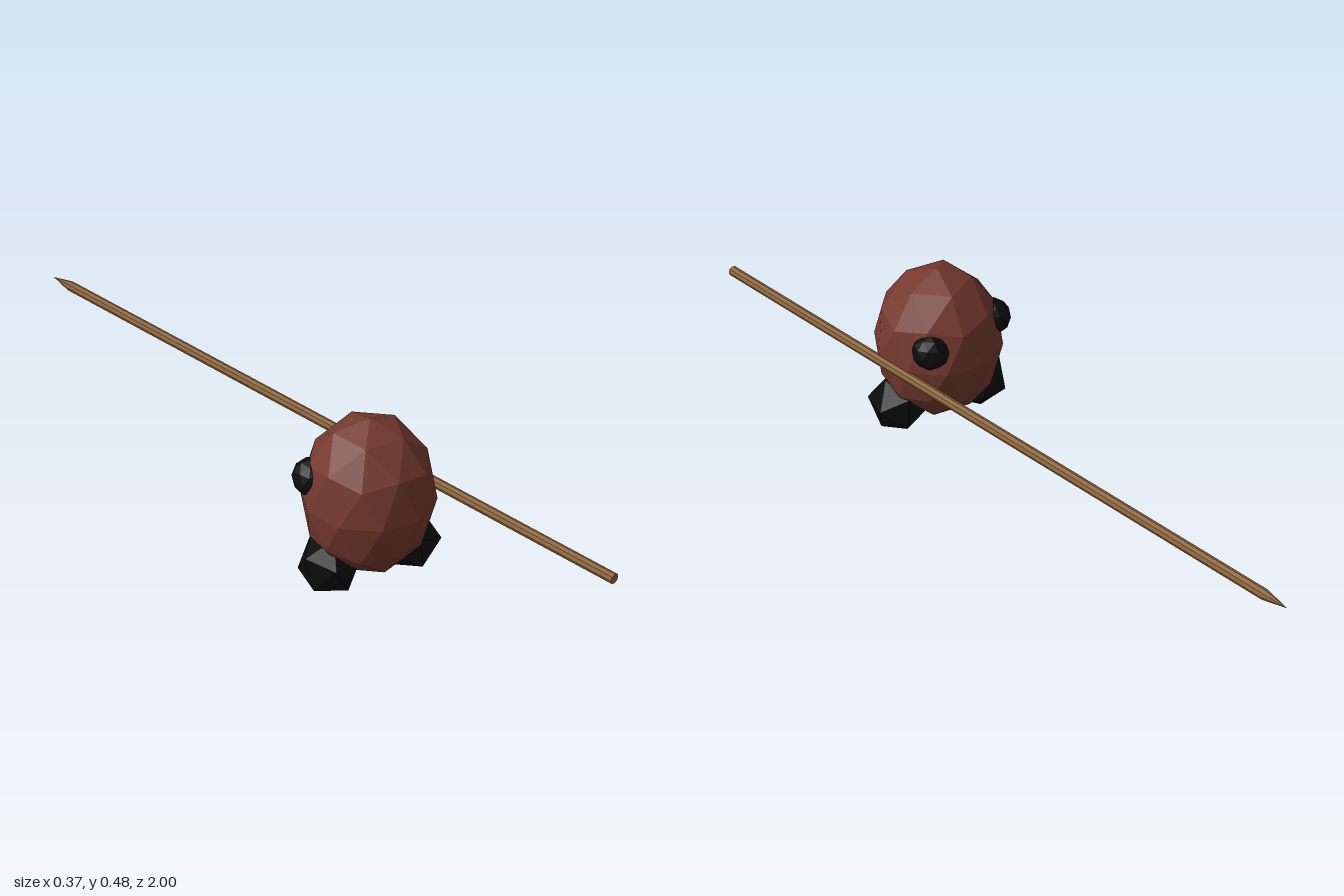
import * as THREE from 'three';

export function createModel() {
  const model = new THREE.Group();
  const mat = (name, color) => {
    const m = new THREE.MeshStandardMaterial({ color });
    m.name = name;
    return m;
  };
  const skin = mat('reddish brown', 0x75392f);
  const black = mat('black', 0x0c0c0c);
  const wood = mat('wood brown', 0x8b633a);

  const add = (name, geometry, material, x, y, z) => {
    geometry = geometry.index ? geometry.toNonIndexed() : geometry;
    geometry.computeVertexNormals(); // flat facets
    const mesh = new THREE.Mesh(geometry, material);
    mesh.name = name;
    mesh.position.set(x, y, z);
    model.add(mesh);
    return mesh;
  };

  // Icosphere with a vertex at the top and an upper-ring vertex towards +x
  const icosphere = (detail) => new THREE.IcosahedronGeometry(1, detail)
    .rotateX(-Math.atan((1 + Math.sqrt(5)) / 2)).rotateY(Math.PI / 2);

  // Egg-shaped body
  add('body', icosphere(1).scale(0.173, 0.221, 0.173), skin, 0, 0.254, 0.352);

  // Eyes on the side facing the spear tip
  for (const s of [-1, 1]) {
    add(s > 0 ? 'leftEye' : 'rightEye', icosphere(1).scale(0.05, 0.05, 0.05),
      black, s * 0.111, 0.314, 0.262);
  }

  // Faceted feet, one a step ahead of the other
  const faceForward = new THREE.Quaternion().setFromUnitVectors(
    new THREE.Vector3(-1, 1, 1).normalize(), new THREE.Vector3(0, 0, 1));
  const foot = (name, x, z, turn) => {
    const g = new THREE.IcosahedronGeometry(0.084, 0)
      .applyQuaternion(faceForward).rotateZ(turn);
    add(name, g, black, x, 0.08, z);
  };
  foot('leftFoot', 0.11, 0.395, 0.27);
  foot('rightFoot', -0.11, 0.325, 0.65);

  // Spear: straight shaft and sharpened tip, rising slightly towards the back
  const spear = new THREE.Group();
  spear.name = 'spear';
  const shaft = add('spearShaft', new THREE.CylinderGeometry(0.014, 0.014, 1.93, 8),
    wood, 0, 0, 0);
  const tip = add('spearTip', new THREE.ConeGeometry(0.014, 0.07, 8), wood, 0, 1, 0);
  shaft.position.y = -0.035;
  tip.position.y = 0.965;
  spear.add(shaft, tip);
  spear.rotation.x = -Math.PI / 2 + 0.009;
  spear.position.set(0.165, 0.244, 0);
  model.add(spear);

  return model;
}
